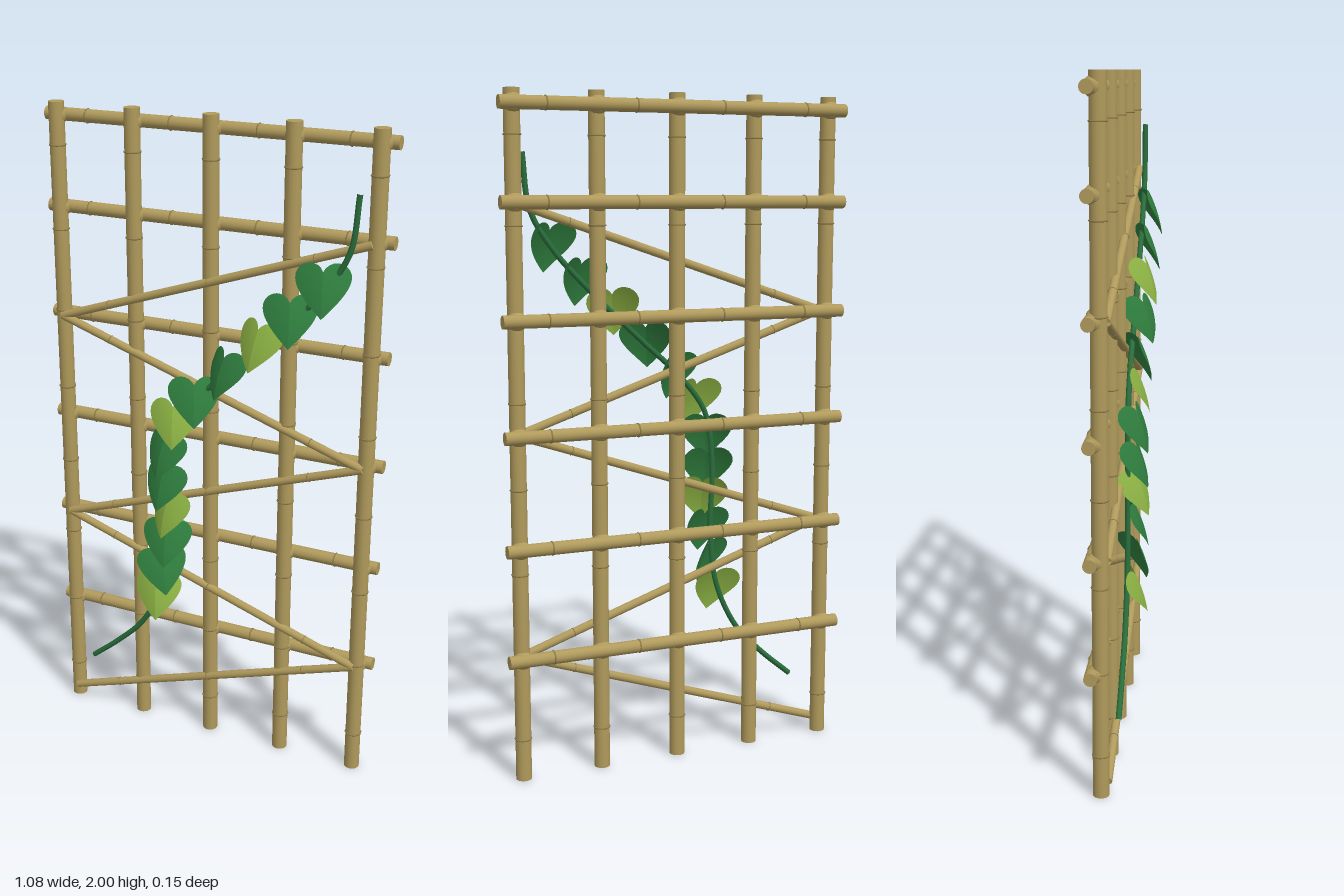
import * as THREE from 'three';

const flat = (name, color, side = THREE.FrontSide) => {
  const m = new THREE.MeshStandardMaterial({ color, side });
  m.name = name;
  return m;
};

export function createModel() {
  const bamboo = flat('bamboo', 0xb09a5c);
  const node = flat('bamboo node', 0x93804a);
  const vineGreen = flat('vine green', 0x2a6e3c);
  const darkLeaf = flat('dark leaf', 0x2f7d3e, THREE.DoubleSide);
  const lightLeaf = flat('light leaf', 0x8db344, THREE.DoubleSide);

  const model = new THREE.Group();
  model.name = 'bambooTrellis';
  const add = (parent, name, geometry, material) => {
    const mesh = new THREE.Mesh(geometry, material);
    mesh.name = name;
    parent.add(mesh);
    return mesh;
  };

  // A cane between two points, with evenly spaced node rings
  const up = new THREE.Vector3(0, 1, 0);
  function cane(name, a, b, radius, nodes) {
    const from = new THREE.Vector3(...a), to = new THREE.Vector3(...b);
    const length = from.distanceTo(to);
    const group = new THREE.Group();
    group.name = name;
    group.position.copy(from).lerp(to, 0.5);
    group.quaternion.setFromUnitVectors(up, to.clone().sub(from).normalize());
    add(group, 'stalk', new THREE.CylinderGeometry(radius, radius, length, 16), bamboo);
    for (let i = 0; i < nodes; i++) {
      const ring = add(group, 'nodeRing', new THREE.TorusGeometry(radius, radius * 0.12, 6, 16), node);
      ring.rotation.x = Math.PI / 2;
      ring.position.y = ((i + 0.5) / nodes - 0.5) * length;
    }
    model.add(group);
  }

  // Lattice of uprights and crossbars with a rounded knot at each crossing
  const xs = [-0.495, -0.2475, 0, 0.2475, 0.495];
  const ys = [0.37, 0.7, 1.03, 1.36, 1.69, 1.96];
  for (const x of xs) cane('upright', [x, 0, -0.039], [x, 2, -0.039], 0.0235, 8);
  for (const y of ys) cane('crossbar', [-0.54, y, -0.063], [0.54, y, -0.063], 0.0195, 4);
  for (const x of xs) for (const y of ys) {
    add(model, 'knot', new THREE.SphereGeometry(0.029, 14, 10), bamboo).position.set(x, y, -0.049);
  }

  // Zigzag braces across the front
  const zig = [0.04, 0.37, 0.7, 1.03, 1.36, 1.69];
  for (let i = 0; i < 5; i++) {
    const s = i % 2 ? 1 : -1;
    cane('brace', [s * 0.49, zig[i], -0.02], [-s * 0.49, zig[i + 1], -0.02], 0.0125, 3);
  }

  // Climbing stem
  const path = [
    [-0.41, 0.19], [-0.31, 0.275], [-0.22, 0.37], [-0.15, 0.52], [-0.13, 0.7], [-0.135, 0.9],
    [-0.11, 1.06], [-0.03, 1.17], [0.09, 1.28], [0.24, 1.42], [0.37, 1.56], [0.435, 1.67], [0.455, 1.83],
  ].map(([x, y]) => new THREE.Vector3(x, y, 0.002));
  add(model, 'vine', new THREE.TubeGeometry(new THREE.CatmullRomCurve3(path), 70, 0.0085, 8), vineGreen);

  // Heart-shaped leaf: rows from midrib to outline, folded back from the midrib
  const outline = new THREE.CurvePath();
  const v = (x, y) => new THREE.Vector2(x, y);
  outline.add(new THREE.CubicBezierCurve(v(0, 0.048), v(0.012, 0.078), v(0.05, 0.084), v(0.07, 0.062)));
  outline.add(new THREE.CubicBezierCurve(v(0.07, 0.062), v(0.098, 0.03), v(0.065, -0.02), v(0, -0.085)));
  const edge = outline.getSpacedPoints(20);
  const positions = [], indices = [];
  const cols = 5;
  for (const side of [-1, 1]) {
    const base = positions.length / 3;
    edge.forEach((p, i) => {
      const midY = 0.048 - 0.133 * (i / 20);
      for (let j = 0; j <= cols; j++) {
        const t = j / cols;
        const x = p.x * t, y = midY + (p.y - midY) * t;
        positions.push(side * x, y, 0.012 - 0.15 * x - 2.6 * x * x - 1.2 * y * y);
        if (i < 20 && j < cols) {
          const a = base + i * (cols + 1) + j, b = a + 1, c = a + cols + 1, d = c + 1;
          if (side > 0) indices.push(a, c, b, b, c, d);
          else indices.push(a, b, c, b, d, c);
        }
      }
    });
  }
  const leafGeometry = new THREE.BufferGeometry();
  leafGeometry.setAttribute('position', new THREE.Float32BufferAttribute(positions, 3));
  leafGeometry.setIndex(indices);
  leafGeometry.computeVertexNormals();

  // Leaves: x, y, yaw, roll, light or dark
  const leaves = [
    [0.37, 1.566, 0.3, 0, 0], [0.275, 1.466, 0.3, 0, 0], [0.175, 1.376, -0.3, -0.05, 1],
    [0.07, 1.275, -0.5, 0, 0], [-0.02, 1.175, 0.45, 0, 0], [-0.09, 1.095, 0.15, 0.05, 1],
    [-0.127, 0.985, -0.35, 0, 0], [-0.13, 0.88, -0.25, 0, 0], [-0.115, 0.79, -0.4, 0.05, 1],
    [-0.12, 0.69, 0.2, 0, 0], [-0.13, 0.59, 0.6, 0.05, 0], [-0.155, 0.495, 0.05, 0.1, 1],
  ];
  for (const [x, y, yaw, roll, light] of leaves) {
    const leaf = add(model, 'leaf', leafGeometry, light ? lightLeaf : darkLeaf);
    leaf.position.set(x, y, 0.034);
    leaf.rotation.set(-0.33, yaw, roll, 'YXZ');
    leaf.scale.setScalar(0.97);
  }
  return model;
}
